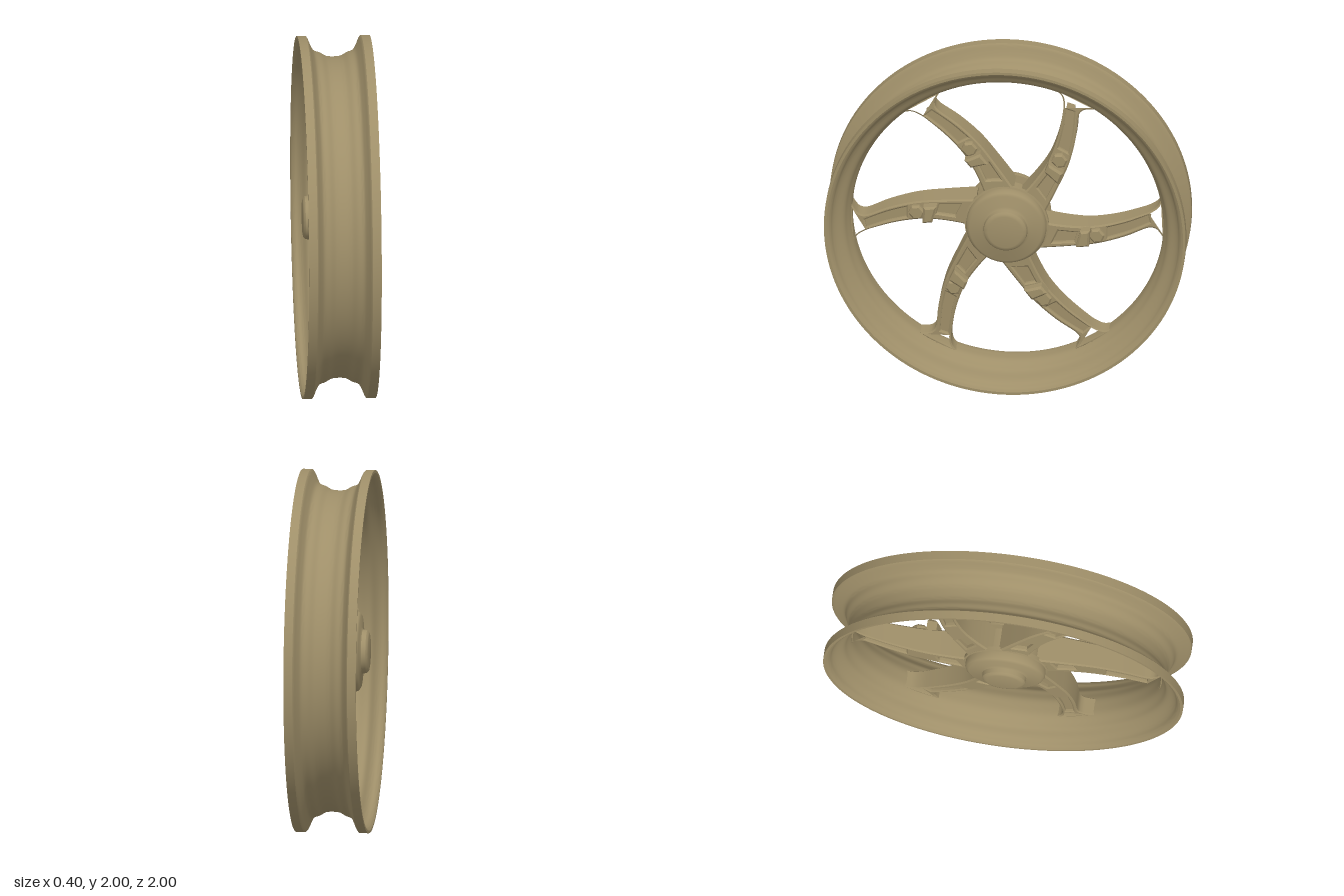
import * as THREE from 'three';
import { toCreasedNormals } from 'three/addons/utils/BufferGeometryUtils.js';

const material = new THREE.MeshStandardMaterial({ color: 0x9f8f69 });
const vectors = (list) => list.map(([x, y]) => new THREE.Vector2(x, y));
const smooth = (list, n) => new THREE.SplineCurve(vectors(list)).getPoints(n);
const mirrored = (list) => list.map(([x, r]) => [-x, r]).reverse();

function mesh(name, geometry, crease = 0.6) {
  const m = new THREE.Mesh(toCreasedNormals(geometry, crease), material);
  m.name = name;
  return m;
}

// Revolves points of (axial, radius) around the z axle
function revolve(points, segments) {
  const g = new THREE.LatheGeometry(points.map((p) => new THREE.Vector2(p.y, p.x)), segments);
  return g.rotateX(Math.PI / 2);
}

// Bevelled plate between two heights, keeping the outline's size
function plate(shape, z0, z1, bevel) {
  const g = new THREE.ExtrudeGeometry(shape, {
    depth: z1 - z0 - 2 * bevel, bevelEnabled: bevel > 0, bevelThickness: bevel,
    bevelSize: bevel, bevelOffset: -bevel, bevelSegments: 1, curveSegments: 6,
  });
  return g.translate(0, 0, z0 + bevel);
}

// Spokes are thicker near the hub and thinner at the rim
function taper(g) {
  const p = g.attributes.position;
  for (let i = 0; i < p.count; i++) {
    p.setZ(i, p.getZ(i) * (1 - 0.65 * (p.getX(i) - 0.2)));
  }
  return g;
}

function createRim() {
  const outerHalf = [[0, 0.885], [0.04, 0.889], [0.075, 0.908], [0.11, 0.922], [0.13, 0.955], [0.145, 0.99], [0.152, 1]];
  const innerHalf = [[0, 0.86], [0.045, 0.863], [0.085, 0.882], [0.115, 0.898], [0.14, 0.935], [0.16, 0.955], [0.185, 0.967], [0.2, 0.985]];
  const outer = smooth([...mirrored(outerHalf).slice(0, -1), ...outerHalf], 48);
  const inner = smooth([...mirrored(innerHalf).slice(0, -1), ...innerHalf], 48).reverse();
  const edge = vectors([[0.2, 1]]);
  const start = vectors([[-0.2, 1]]);
  return mesh('rim', revolve([...start, ...outer, ...edge, ...inner, ...start], 144));
}

function createHub() {
  const half = [[0, 0.19], [0.06, 0.19], [0.065, 0.232], [0.085, 0.232], [0.088, 0.222], [0.115, 0.222], [0.13, 0.215],
    [0.14, 0.2], [0.14, 0.135], [0.148, 0.122], [0.172, 0.118], [0.182, 0.108], [0.185, 0.095], [0.185, 0]];
  return mesh('hub', revolve(vectors([...mirrored(half).slice(0, -1), ...half]), 72));
}

function createSpoke() {
  const spoke = new THREE.Group();
  spoke.name = 'spoke';

  // Curved outline, flared where it meets the rim
  const lower = smooth([[0.17, -0.143], [0.35, -0.127], [0.5, -0.107], [0.65, -0.062], [0.77, -0.008], [0.815, -0.008], [0.84, -0.03], [0.862, -0.065]], 28);
  const upper = smooth([[0.85, 0.18], [0.835, 0.135], [0.8, 0.103], [0.74, 0.074], [0.6, 0.025], [0.45, -0.003], [0.3, 0.003], [0.17, 0.025]], 28);
  const body = new THREE.Shape([...lower, ...vectors([[0.872, 0.06]]), ...upper]);

  // Pockets: a short one by the hub and a long curved one
  const pockets = [
    vectors([[0.25, -0.107], [0.372, -0.098], [0.388, -0.042], [0.285, -0.033]]),
    [...smooth([[0.555, -0.07], [0.65, -0.037], [0.72, -0.006], [0.788, 0.028]], 8),
      ...smooth([[0.778, 0.073], [0.72, 0.047], [0.65, 0.02], [0.555, -0.008]], 8)],
  ];
  body.holes = pockets.map((p) => new THREE.Path(p));
  spoke.add(mesh('spokeBody', taper(plate(body, -0.085, 0.085, 0.009)), 0.4));
  for (const p of pockets) {
    spoke.add(mesh('pocketFloor', taper(plate(new THREE.Shape(p), -0.058, 0.058, 0))));
  }

  // Raised block and six-sided knob on the outer face
  const block = new THREE.Shape(vectors([[0.385, -0.108], [0.458, -0.1], [0.463, -0.002], [0.408, -0.01]]));
  spoke.add(mesh('raisedBlock', plate(block, 0.03, 0.13, 0.012), 0.4));
  const corners = [];
  for (let i = 0; i < 6; i++) {
    const a = (i * Math.PI) / 3 + 0.15;
    corners.push([0.498 + 0.046 * Math.cos(a), -0.05 + 0.046 * Math.sin(a)]);
  }
  spoke.add(mesh('knob', plate(new THREE.Shape(vectors(corners)), 0.03, 0.095, 0.01), 0.4));
  return spoke;
}

export function createModel() {
  const wheel = new THREE.Group();
  wheel.name = 'wheel';
  wheel.add(createRim(), createHub());

  const spoke = createSpoke();
  for (let i = 0; i < 6; i++) {
    const copy = spoke.clone();
    copy.rotation.z = (i * Math.PI) / 3;
    wheel.add(copy);
  }

  // Turn the axle to x and stand the wheel on the ground
  wheel.rotation.y = Math.PI / 2;
  wheel.position.y = 1;
  const model = new THREE.Group();
  model.name = 'spokedWheel';
  model.add(wheel);
  return model;
}
